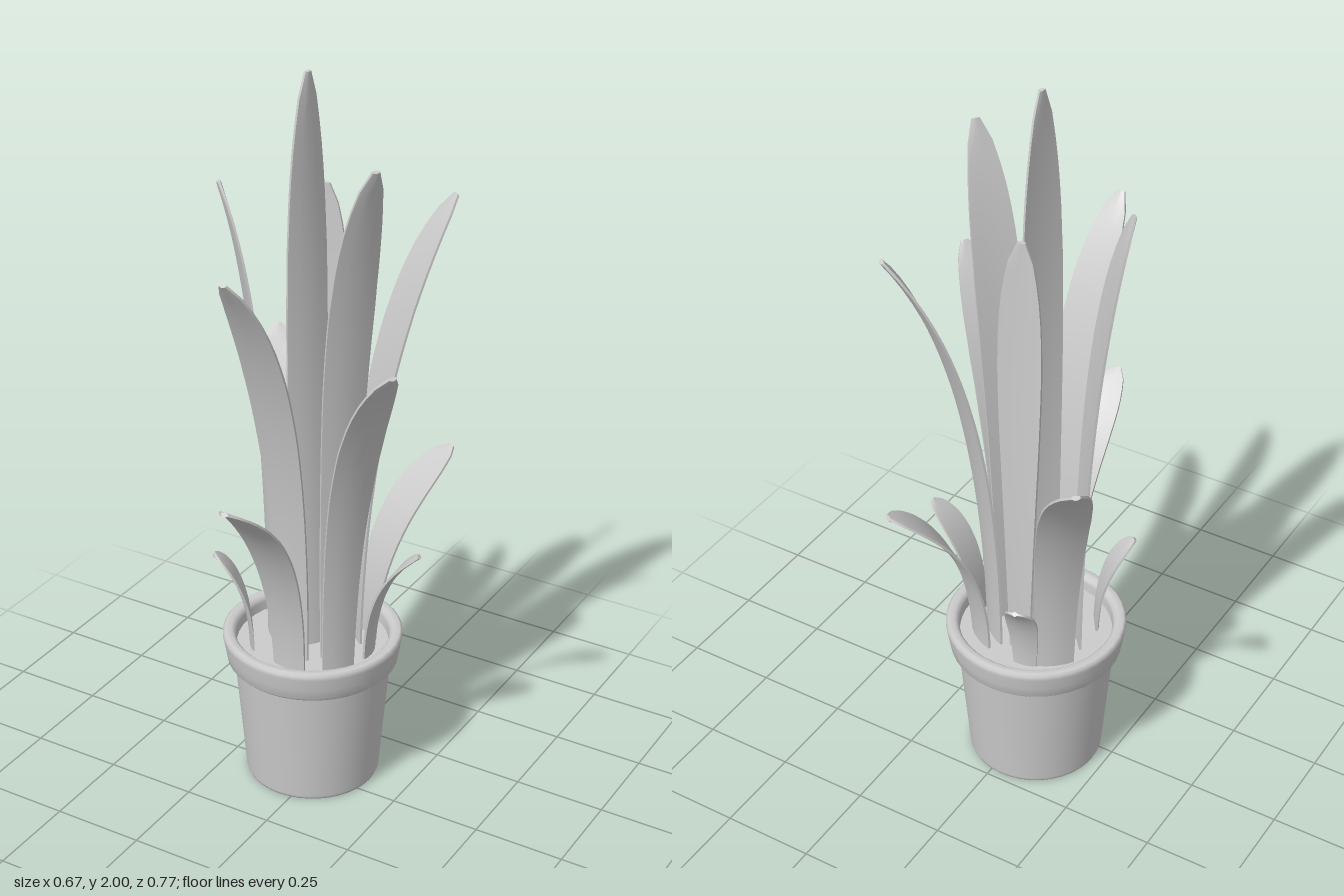
import * as THREE from 'three';
import { toCreasedNormals } from 'three/addons/utils/BufferGeometryUtils.js';

const CX = -0.035, CZ = -0.05; // pot axis
const SOIL = 0.395;
const UP = new THREE.Vector3(0, 1, 0);

// Half-width along a leaf's length, as a fraction of its widest point
const PROFILE = [[0, 0.72], [0.3, 0.84], [0.57, 0.98], [0.71, 1], [0.82, 0.92], [0.9, 0.75], [0.96, 0.5], [1, 0.16]];
function widthAt(t) {
  const i = Math.max(1, PROFILE.findIndex(p => p[0] >= t));
  const [a, b] = [PROFILE[i - 1], PROFILE[i]];
  return THREE.MathUtils.lerp(a[1], b[1], (t - a[0]) / (b[0] - a[0]));
}

// Thin lens section swept up a bending curve; dir is the way the blade faces, twist spins it on the way up
function leafGeometry({ base, tip, width, dir, twist = 0 }) {
  const start = new THREE.Vector3(base[0], SOIL - 0.015, base[1]);
  const end = new THREE.Vector3(...tip);
  const mid = start.clone().lerp(end, 0.03);
  mid.y = THREE.MathUtils.lerp(start.y, end.y, 0.71);
  const curve = new THREE.QuadraticBezierCurve3(start, mid, end);
  const out = dir ? new THREE.Vector3(dir[0], 0, dir[1]) : end.clone().sub(start).setY(0);
  const side = new THREE.Vector3().crossVectors(UP, out).normalize();

  const section = []; // [across, thickness, cup]
  for (const u of [-1, -0.5, 0, 0.5, 1]) section.push([u, -0.003 - 0.003 * (1 - u * u), u * u]);
  for (const u of [1, 0.5, 0, -0.5, -1]) section.push([u, 0.003 + 0.003 * (1 - u * u), u * u]);

  const rows = 25, n = section.length, pos = [], index = [];
  for (let r = 0; r <= rows; r++) {
    const t = r / rows;
    const p = curve.getPointAt(t), tan = curve.getTangentAt(t);
    const w = side.clone().addScaledVector(tan, -side.dot(tan)).normalize().applyAxisAngle(tan, twist * t);
    const nor = new THREE.Vector3().crossVectors(w, tan);
    const half = width / 2 * widthAt(t);
    for (const [u, k, cup] of section) {
      const v = p.clone().addScaledVector(w, u * half).addScaledVector(nor, k - cup * half * 0.08);
      pos.push(v.x, v.y, v.z);
    }
  }
  for (let r = 0; r < rows; r++) for (let i = 0; i < n; i++) {
    const a = r * n + i, b = r * n + (i + 1) % n;
    index.push(a, a + n, b, b, a + n, b + n);
  }
  // End caps
  const last = rows * n;
  for (let i = 1; i < n - 1; i++) {
    index.push(0, i, i + 1);
    index.push(last, last + i + 1, last + i);
  }
  const g = new THREE.BufferGeometry();
  g.setAttribute('position', new THREE.Float32BufferAttribute(pos, 3));
  g.setIndex(index);
  return toCreasedNormals(g, 0.7);
}

const LEAVES = [
  { name: 'backRightLeaf', base: [-0.155, -0.15], tip: [-0.325, 1.15, -0.35], width: 0.135 },
  { name: 'backLeftLowLeaf', base: [0.07, -0.165], tip: [0.198, 0.9, -0.383], width: 0.13 },
  { name: 'backLeftTallLeaf', base: [0.05, -0.13], tip: [0.21, 1.63, -0.345], width: 0.135 },
  { name: 'leftTallLeaf', base: [0.055, -0.025], tip: [0.205, 1.82, 0.063], width: 0.13 },
  { name: 'frontLeftLeaf', base: [0.11, 0.06], tip: [0.33, 1.37, 0.195], width: 0.125 },
  { name: 'leftSmallLeaf', base: [0.13, -0.07], tip: [0.268, 0.73, -0.08], width: 0.09 },
  { name: 'frontTallLeaf', base: [-0.04, 0.045], tip: [-0.06, 1.57, 0.322], width: 0.128 },
  { name: 'frontLowLeaf', base: [-0.02, 0.1], tip: [-0.03, 0.99, 0.38], width: 0.13 },
  { name: 'rightTallLeaf', base: [-0.155, -0.03], tip: [-0.252, 1.7, 0.037], width: 0.125, dir: [-0.75, 0.66] },
  { name: 'rightSmallLeaf', base: [-0.165, 0.05], tip: [-0.245, 0.68, 0.105], width: 0.09 },
  { name: 'backSmallLeaf', base: [-0.085, -0.19], tip: [-0.102, 0.63, -0.267], width: 0.085 },
  // Upright leaves that twist about their own length
  { name: 'centreLeaf', base: [-0.035, -0.03], tip: [-0.033, 2, -0.025], width: 0.13, dir: [0.75, 0.66], twist: 0.6 },
  { name: 'backUprightLeaf', base: [-0.055, -0.16], tip: [-0.06, 1.67, -0.158], width: 0.128, dir: [-0.45, 0.9], twist: 0.6 },
];

export function createModel() {
  const model = new THREE.Group();
  const material = new THREE.MeshStandardMaterial({ color: 0xcccccc });
  const add = (name, geometry) => {
    const mesh = new THREE.Mesh(geometry, material);
    mesh.name = name;
    model.add(mesh);
    return mesh;
  };

  // Tapered pot with a rounded, overhanging rim and an open top; paired points keep corners crisp
  const profile = [
    [0, 0], [0.176, 0], [0.18, 0.001], [0.182, 0.006], [0.1825, 0.01], [0.2105, 0.341], [0.211, 0.345],
    [0.214, 0.346], [0.222, 0.347], [0.231, 0.356], [0.236, 0.385], [0.242, 0.42], [0.242, 0.432],
    [0.235, 0.438], [0.218, 0.438], [0.209, 0.43], [0.206, 0.42], [0.204, 0.37],
  ].map(p => new THREE.Vector2(...p));
  add('pot', new THREE.LatheGeometry(profile, 40)).position.set(CX, 0, CZ);

  // Soil disc
  const soil = add('soil', new THREE.CircleGeometry(0.207, 40));
  soil.rotation.x = -Math.PI / 2;
  soil.position.set(CX, SOIL, CZ);

  for (const leaf of LEAVES) add(leaf.name, leafGeometry(leaf));
  return model;
}
